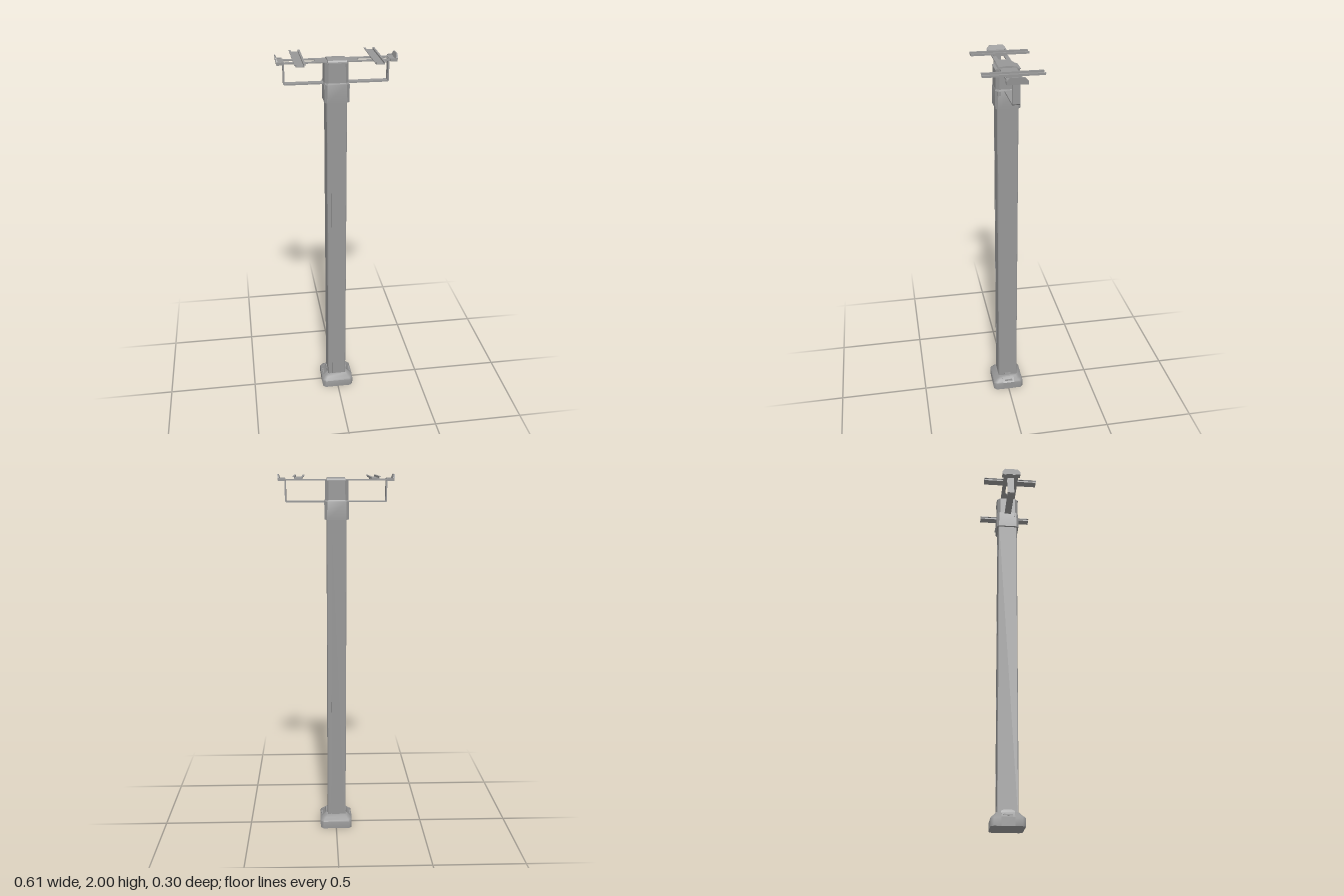
import * as THREE from 'three';
import { toCreasedNormals } from 'three/addons/utils/BufferGeometryUtils.js';

const material = new THREE.MeshStandardMaterial({ color: 0x979797, side: THREE.DoubleSide });

// Edges sharper than the crease angle stay hard
function add(parent, name, geometry, x = 0, y = 0, z = 0, crease = 0.4) {
  const mesh = new THREE.Mesh(toCreasedNormals(geometry, crease), material);
  mesh.name = name;
  mesh.position.set(x, y, z);
  parent.add(mesh);
  return mesh;
}

function polygon(points) {
  return new THREE.Shape(points.map(([x, y]) => new THREE.Vector2(x, y)));
}

// Profile in x/y, extruded along z and centred
function extrude(shape, depth) {
  return new THREE.ExtrudeGeometry(shape, { depth, bevelEnabled: false, curveSegments: 8 }).translate(0, 0, -depth / 2);
}

// Rectangle with cut corners
function octagon(hx, hz, c) {
  return [[hx, hz - c], [hx - c, hz], [c - hx, hz], [-hx, hz - c], [-hx, c - hz], [c - hx, -hz], [hx - c, -hz], [hx, c - hz]];
}

// Stack of cut-corner sections, each [y, half width, half depth, corner cut]
function loft(sections) {
  const positions = [], index = [];
  for (const [y, hx, hz, c] of sections) for (const [x, z] of octagon(hx, hz, c)) positions.push(x, y, z);
  for (let s = 0; s < sections.length - 1; s++) {
    for (let i = 0; i < 8; i++) {
      const a = s * 8 + i, b = s * 8 + (i + 1) % 8;
      index.push(a, a + 8, b, b, a + 8, b + 8);
    }
  }
  const top = (sections.length - 1) * 8;
  for (let i = 1; i < 7; i++) {
    index.push(0, i + 1, i, top, top + i, top + i + 1);
  }
  // Octagon runs clockwise seen from above, so flip every face outward
  for (let i = 0; i < index.length; i += 3) {
    if (i >= index.length - 36) [index[i + 1], index[i + 2]] = [index[i + 2], index[i + 1]];
  }
  const geometry = new THREE.BufferGeometry();
  geometry.setAttribute('position', new THREE.Float32BufferAttribute(positions, 3));
  geometry.setIndex(index);
  return geometry;
}

// Long slot with one rounded end
function slot(dir) {
  const path = new THREE.Path();
  path.moveTo(dir * 0.262, -0.02);
  path.lineTo(dir * 0.12, -0.02);
  path.quadraticCurveTo(dir * 0.107, -0.02, dir * 0.107, -0.007);
  path.lineTo(dir * 0.107, 0.007);
  path.quadraticCurveTo(dir * 0.107, 0.02, dir * 0.12, 0.02);
  path.lineTo(dir * 0.262, 0.02);
  path.closePath();
  return path;
}

export function createModel() {
  const model = new THREE.Group();

  // Foot: upright skirt and soft sloping shoulder
  const foot = new THREE.Group();
  foot.name = 'foot';
  model.add(foot);
  add(foot, 'footBody', loft([
    [0, 0.09, 0.088, 0.016], [0.042, 0.09, 0.088, 0.016], [0.05, 0.086, 0.082, 0.016],
    [0.06, 0.076, 0.07, 0.015], [0.075, 0.061, 0.058, 0.012],
  ]), 0, 0, 0, 0.9);

  // Side tabs follow the slope and narrow at the top
  const tabShape = polygon([[0.04, 0], [0.091, 0], [0.091, 0.045], [0.064, 0.074], [0.061, 0.08], [0.06, 0.09], [0.04, 0.09]]);
  for (const side of [-1, 1]) {
    const tab = extrude(tabShape, 0.068);
    const p = tab.attributes.position;
    for (let i = 0; i < p.count; i++) if (p.getY(i) > 0.085) p.setZ(i, p.getZ(i) * 0.5);
    if (side < 0) tab.rotateY(Math.PI);
    add(foot, 'footSideTab', tab);
    add(foot, 'footLatch', new THREE.BoxGeometry(0.01, 0.007, 0.045), side * 0.079, 0.057);
  }

  // Square post with one narrow channel in front and one behind
  const halfSection = [
    [0.052, 0.051], [0.048, 0.055], [-0.028, 0.055], [-0.028, 0.051], [-0.034, 0.051], [-0.034, 0.055], [-0.048, 0.055], [-0.052, 0.051],
  ];
  const postShape = polygon([...halfSection, ...halfSection.map(([x, z]) => [-x, -z])]);
  add(model, 'post', extrude(postShape, 1.74).rotateX(Math.PI / 2), -0.003, 0.92);

  // Head: cuff around the post and block above
  const head = new THREE.Group();
  head.name = 'head';
  head.position.x = -0.003;
  model.add(head);
  add(head, 'cuff', loft([[1.77, 0.063, 0.064, 0.012], [1.862, 0.063, 0.064, 0.014], [1.87, 0.06, 0.061, 0.016]]));
  add(head, 'headBlock', loft([[1.86, 0.06, 0.061, 0.016], [1.97, 0.06, 0.061, 0.018]]));
  for (const side of [-1, 1]) {
    add(head, 'cuffButton', new THREE.BoxGeometry(0.008, 0.02, 0.016), side * 0.061, 1.85, 0.045);
  }

  // Folded saddle plate with a low ridge, holding the crossbar on the head
  const saddleShape = polygon([
    [-0.064, 1.966], [0.064, 1.966], [0.064, 1.97], [0.05, 1.972], [0.045, 1.979], [0.013, 1.983],
    [-0.013, 1.983], [-0.045, 1.979], [-0.05, 1.972], [-0.064, 1.97],
  ]);
  add(model, 'saddlePlate', extrude(saddleShape, 0.095).rotateY(Math.PI / 2), 0, 0, 0, 0.05);

  // Flat crossbar with a long slot on each side
  const barShape = polygon([[-0.285, -0.042], [0.285, -0.042], [0.285, 0.042], [-0.285, 0.042]]);
  barShape.holes.push(slot(-1), slot(1));
  add(model, 'crossbar', extrude(barShape, 0.006).rotateX(-Math.PI / 2), 0, 1.971);

  // Strap bent into a shallow loop below the crossbar
  const strap = polygon([
    [-0.267, 1.973], [-0.267, 1.863], [-0.262, 1.857], [0.262, 1.857], [0.267, 1.863], [0.267, 1.973],
    [0.26, 1.973], [0.26, 1.864], [-0.26, 1.864], [-0.26, 1.973],
  ]);
  add(model, 'lowerStrap', extrude(strap, 0.038));

  // Shallow open channels lying across the bar
  const railShape = polygon([
    [-0.028, 1.989], [-0.021, 1.989], [-0.021, 1.98], [0.021, 1.98], [0.021, 1.989], [0.028, 1.989],
    [0.028, 1.992], [0.018, 1.992], [0.018, 1.983], [-0.018, 1.983], [-0.018, 1.992], [-0.028, 1.992],
  ]);
  // Tapered stop plate at each end of the bar
  const stopShape = polygon([[-0.052, 1.966], [0.052, 1.966], [0.052, 1.982], [0.036, 2], [-0.036, 2], [-0.052, 1.982]]);
  for (const side of [-1, 1]) {
    add(model, 'crossRail', extrude(railShape, 0.304), side * 0.194);
    add(model, 'railSpacer', new THREE.BoxGeometry(0.036, 0.008, 0.07), side * 0.194, 1.977);

    // End clip: seat on the bar, ears and leaning stop
    const clip = new THREE.Group();
    clip.name = 'endClip';
    clip.scale.x = side;
    model.add(clip);
    add(clip, 'clipSeat', new THREE.BoxGeometry(0.034, 0.012, 0.08), 0.28, 1.971);
    const stop = extrude(stopShape, 0.012).rotateY(Math.PI / 2);
    const p = stop.attributes.position;
    for (let i = 0; i < p.count; i++) {
      const lean = p.getX(i) < 0 ? 0.3 : 0.1;
      p.setX(i, p.getX(i) + 0.294 + (p.getY(i) - 1.966) * lean);
    }
    add(clip, 'clipStop', stop);
    for (const z of [-0.046, 0.046]) add(clip, 'clipEar', new THREE.BoxGeometry(0.025, 0.014, 0.01), 0.28, 1.973, z);
  }

  return model;
}
